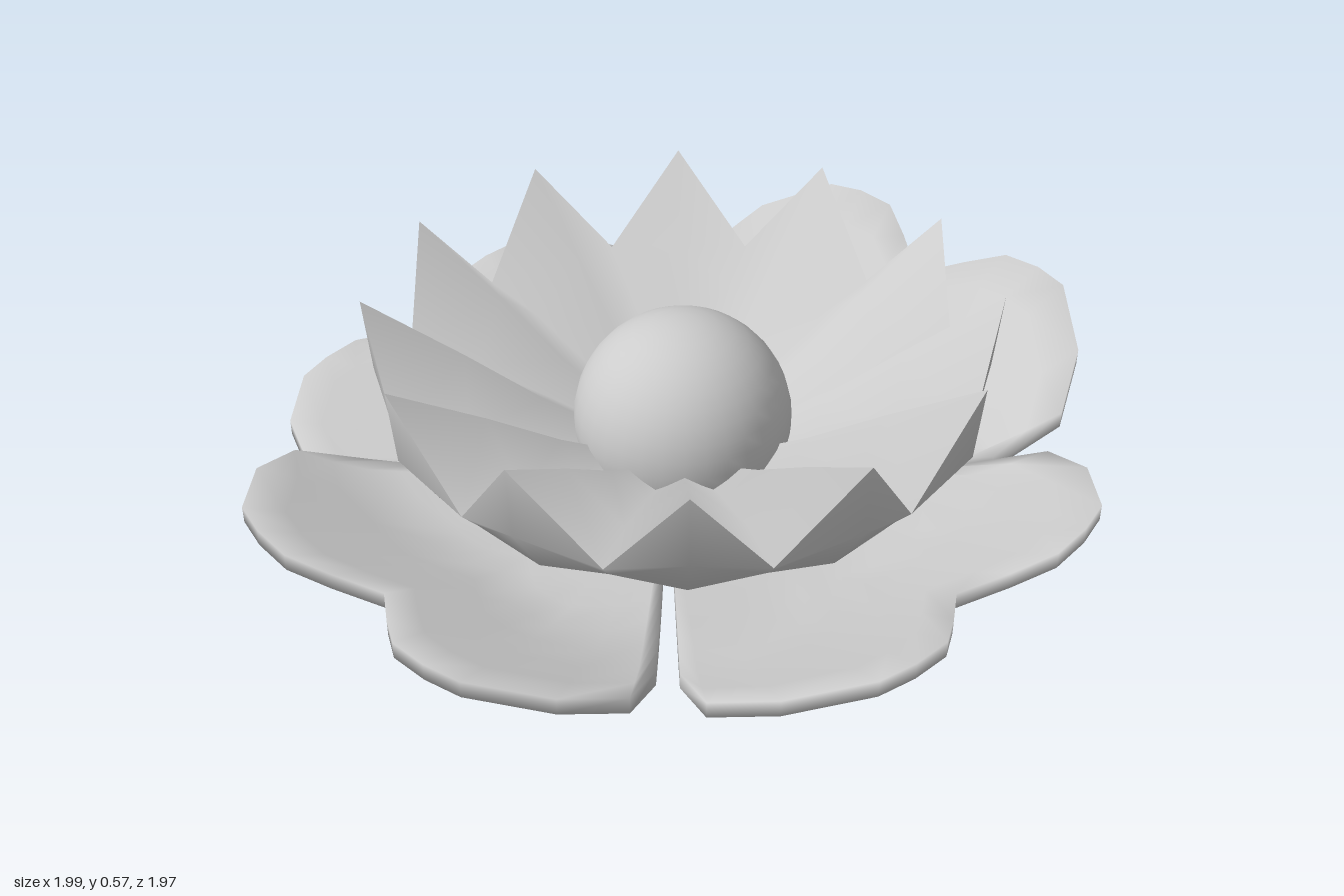
import * as THREE from 'three';

function buildGeometry(positions, index) {
  const g = new THREE.BufferGeometry();
  g.setAttribute('position', new THREE.Float32BufferAttribute(positions, 3));
  g.setIndex(index);
  g.computeVertexNormals();
  return g;
}

// Right half of the heart-shaped outline: [sideways, outward], notch first
const HALF = [[0, 0.87], [0.1, 0.935], [0.19, 0.985], [0.29, 0.985], [0.38, 0.965],
  [0.52, 0.84], [0.58, 0.7], [0.5, 0.55]];
const OUTLINE = [...HALF.slice(1).reverse().map(([v, u]) => [-v, u]), ...HALF];

// Thick outer petal: rings spreading from the base to the outline, bent upwards
function outerPetalGeometry({ angle, shift, base, slope, cup, tilt = 0, skew = 0 }) {
  const rings = 10, cols = OUTLINE.length, s0 = 0.06;
  const top = [], bottom = [], index = [];
  const dx = Math.sin(angle), dz = Math.cos(angle);
  for (let r = 0; r <= rings; r++) {
    const s = s0 + (1 - s0) * r / rings;
    const thick = 0.06 - 0.02 * s * s;
    for (const [ov, ou] of OUTLINE) {
      const v = ov * s, u = 0.03 + (ou - 0.03) * s + skew * v * s;
      const side = v / 0.58;
      const y = 0.03 + base * Math.min(u / 0.58, 1) + slope * Math.max(u - 0.58, 0)
        + cup * side * side + tilt * side * u;
      const x = u * dx + v * dz + shift[0], z = u * dz - v * dx + shift[1];
      top.push(x, y + thick / 2, z);
      bottom.push(x, y - thick / 2, z);
    }
  }
  const n = (rings + 1) * cols;
  for (let r = 0; r < rings; r++) {
    for (let j = 0; j < cols - 1; j++) {
      const a = r * cols + j, b = a + cols, c = a + 1, d = b + 1;
      index.push(a, b, c, c, b, d, n + a, n + c, n + b, n + c, n + d, n + b);
    }
  }
  // Rim between the two faces
  const rim = [];
  for (let r = 0; r < rings; r++) rim.push(r * cols);
  for (let j = 0; j < cols - 1; j++) rim.push(rings * cols + j);
  for (let r = rings; r > 0; r--) rim.push(r * cols + cols - 1);
  for (let j = cols - 1; j > 0; j--) rim.push(j);
  rim.forEach((a, i) => {
    const b = rim[(i + 1) % rim.length];
    index.push(n + a, n + b, b, n + a, b, a);
  });
  return buildGeometry([...top, ...bottom], index);
}

// Pleated ring: alternating tip and valley profiles as [radius, height]
function pleatGeometry(points, tip, valley) {
  const cols = points * 2, pos = [], index = [];
  for (let r = 0; r < tip.length; r++) {
    for (let j = 0; j < cols; j++) {
      const [rad, y] = (j % 2 ? tip : valley)[r];
      const a = j / cols * Math.PI * 2;
      pos.push(rad * Math.sin(a), y, rad * Math.cos(a));
    }
  }
  for (let r = 0; r < tip.length - 1; r++) {
    for (let j = 0; j < cols; j++) {
      const k = (j + 1) % cols;
      const a = r * cols + j, b = a + cols, c = r * cols + k, d = c + cols;
      // Diagonals mirror about each tip
      if (j % 2) index.push(a, b, d, a, d, c);
      else index.push(a, b, c, c, b, d);
    }
  }
  return buildGeometry(pos, index);
}

export function createModel() {
  const group = new THREE.Group();
  const grey = new THREE.MeshStandardMaterial({ color: 0xcccccc, side: THREE.DoubleSide });
  grey.name = 'light grey';
  const add = (name, geometry, x = 0, y = 0, z = 0) => {
    const mesh = new THREE.Mesh(geometry, grey);
    mesh.name = name;
    mesh.position.set(x, y, z);
    group.add(mesh);
  };

  // Four outer petals, each with its own lift
  const q = Math.PI / 2;
  add('frontPetal', outerPetalGeometry({ angle: 0, shift: [-0.03, 0], base: 0.01, slope: 0.5, cup: 0.06 }));
  add('leftPetal', outerPetalGeometry({ angle: q, shift: [0.01, 0.05], base: 0, slope: 0.69, cup: 0.04 }));
  add('backPetal', outerPetalGeometry({ angle: 2 * q, shift: [-0.01, 0.01], base: 0.01, slope: 0.08, cup: 0.03, tilt: -0.05, skew: -0.05 }));
  add('rightPetal', outerPetalGeometry({ angle: 3 * q, shift: [0, 0.02], base: 0.025, slope: 0.47, cup: 0.06, skew: 0.04 }));

  // Pointed inner petals: outer wall of the cup, then the ridged inside
  add('innerPetalsOutside', pleatGeometry(12,
    [[0.01, 0.05], [0.25, 0.09], [0.5, 0.17], [0.62, 0.24], [0.71, 0.38], [0.725, 0.56]],
    [[0.01, 0.05], [0.25, 0.1], [0.45, 0.17], [0.56, 0.23], [0.63, 0.275], [0.67, 0.32]]), -0.005, 0, 0.05);
  add('innerPetalsInside', pleatGeometry(12,
    [[0.2, 0.22], [0.32, 0.29], [0.5, 0.415], [0.725, 0.56]],
    [[0.2, 0.19], [0.32, 0.235], [0.5, 0.295], [0.67, 0.32]]), -0.005, 0, 0.05);

  // Round centre
  add('centre', new THREE.SphereGeometry(0.255, 32, 20), -0.005, 0.245, 0.05);
  return group;
}
